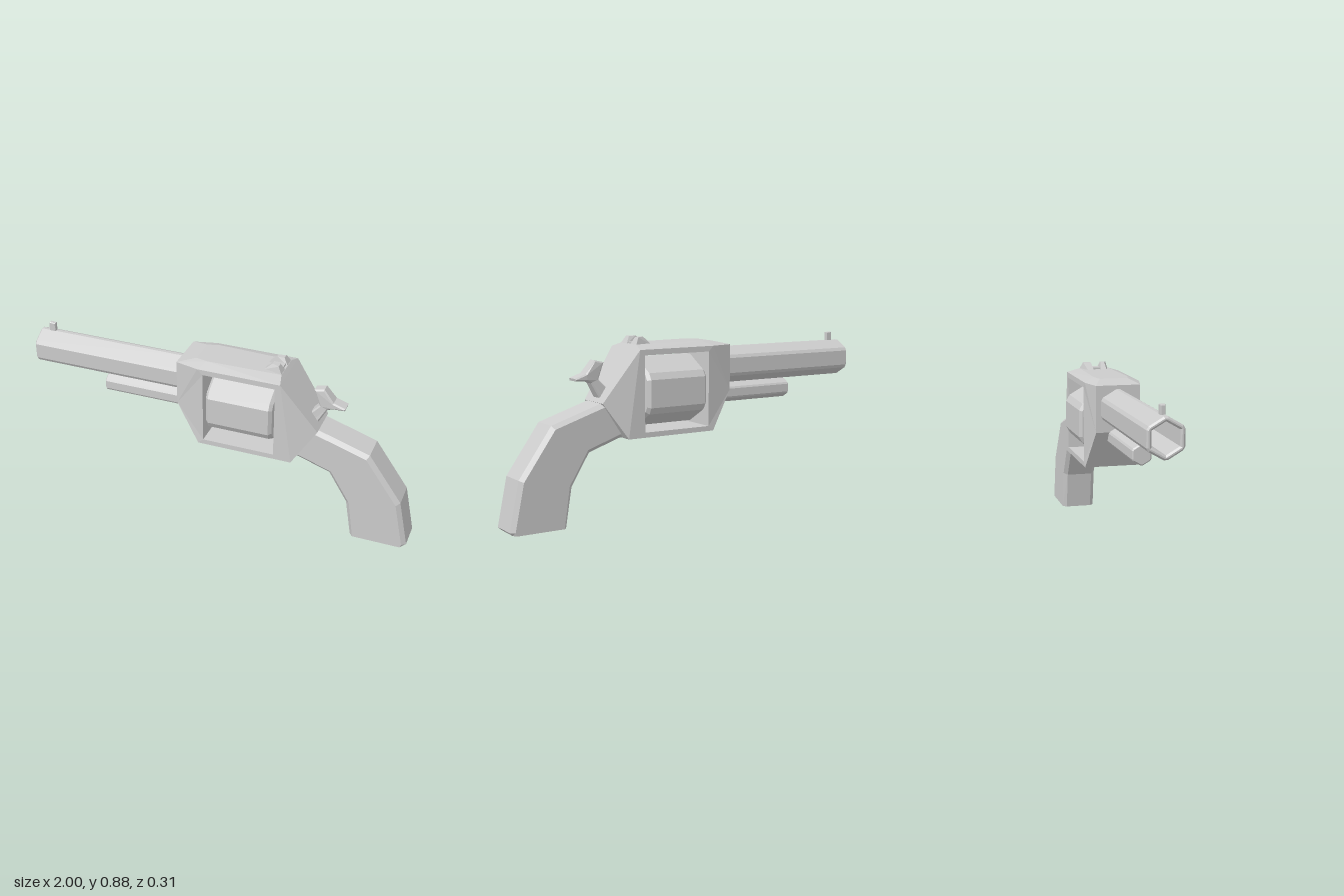
import * as THREE from 'three';
import { ConvexGeometry } from 'three/addons/geometries/ConvexGeometry.js';

const material = new THREE.MeshStandardMaterial({ color: 0xcccccc, flatShading: true });
const V2 = (p) => new THREE.Vector2(p[0], p[1]);

function part(name, geometry) {
  const mesh = new THREE.Mesh(geometry, material);
  mesh.name = name;
  return mesh;
}

// Plate drawn in x-y, centred on z = 0, with an inward chamfer
function plate(points, halfWidth, chamfer, holePoints) {
  const shape = new THREE.Shape(points.map(V2));
  if (holePoints) shape.holes.push(new THREE.Path(holePoints.map(V2)));
  const depth = 2 * (halfWidth - chamfer);
  const geometry = new THREE.ExtrudeGeometry(shape, {
    depth, steps: 1, bevelEnabled: chamfer > 0, bevelSegments: 1,
    bevelThickness: chamfer, bevelSize: chamfer, bevelOffset: -chamfer,
  });
  return geometry.translate(0, 0, -depth / 2);
}

// Move vertices by a rule
function reshape(geometry, rule) {
  const pos = geometry.attributes.position;
  const v = new THREE.Vector3();
  for (let i = 0; i < pos.count; i++) {
    rule(v.fromBufferAttribute(pos, i));
    pos.setXYZ(i, v.x, v.y, v.z);
  }
  geometry.computeVertexNormals();
  return geometry;
}

// Hexagon standing on a corner, each corner cut by t (fraction of a side)
function hexagon(radius, t) {
  const corner = (i) => {
    const a = Math.PI / 2 + (i * Math.PI) / 3;
    return new THREE.Vector2(radius * Math.cos(a), radius * Math.sin(a));
  };
  const points = [];
  for (let i = 0; i < 6; i++) {
    if (t === 0) points.push(corner(i));
    else points.push(corner(i).lerp(corner(i - 1), t), corner(i).lerp(corner(i + 1), t));
  }
  return points;
}

// Hexagonal bar along x from x0 to x1, optionally hollow
function hexBar(x0, x1, y, radius, cut, chamfer, bore = 0) {
  const shape = new THREE.Shape(hexagon(radius, cut));
  if (bore) shape.holes.push(new THREE.Path(hexagon(bore, 0)));
  const geometry = new THREE.ExtrudeGeometry(shape, {
    depth: x1 - x0 - 2 * chamfer, steps: 1, bevelEnabled: true, bevelSegments: 1,
    bevelThickness: chamfer, bevelSize: chamfer, bevelOffset: -chamfer,
  });
  return geometry.rotateY(Math.PI / 2).translate(x0 + chamfer, y, 0);
}

const hull = (list) => new ConvexGeometry(list.map((p) => new THREE.Vector3(...p)));
const mirrored = (list) => list.flatMap(([x, y, z]) => [[x, y, z], [x, y, -z]]);

export function createModel() {
  const model = new THREE.Group();
  model.name = 'revolver';

  // Barrel, rod housing and front sight
  model.add(part('barrel', hexBar(-1, -0.19, 0.718, 0.098, 0.11, 0.008, 0.072)));
  model.add(part('ejectorRod', hexBar(-0.63, -0.1, 0.574, 0.053, 0.12, 0.006)));
  model.add(part('frontSight', plate(
    [[-0.95, 0.79], [-0.915, 0.79], [-0.915, 0.853], [-0.945, 0.856], [-0.95, 0.85]], 0.011, 0.003)));

  // Frame with an open window, narrowing toward the front and the rear tip
  const frame = plate(
    [[-0.2, 0.83], [-0.2, 0.6], [-0.08, 0.405], [0.405, 0.405], [0.52, 0.58], [0.34, 0.83], [-0.08, 0.83]],
    0.138, 0,
    [[-0.053, 0.43], [-0.053, 0.803], [0.315, 0.803], [0.315, 0.43]]);
  reshape(frame, (v) => {
    const half = v.x < -0.15 ? 0.11 : v.x > 0.45 ? 0.092 : 0.138;
    v.z = Math.sign(v.z) * half;
  });
  model.add(part('frame', frame));

  // Sloped top of the frame
  model.add(part('topStrap', hull(mirrored([
    [-0.2, 0.83, 0.11], [-0.08, 0.83, 0.138], [0.34, 0.83, 0.138],
    [-0.11, 0.851, 0.07], [-0.05, 0.852, 0.085], [0.325, 0.85, 0.075],
  ]))));

  // Rear sight: two posts and a low bridge
  const rearSight = new THREE.Group();
  rearSight.name = 'rearSight';
  for (const s of [1, -1]) {
    rearSight.add(part('rearSightPost', hull([
      [0.23, 0.848, 0.018], [0.23, 0.848, 0.05], [0.325, 0.848, 0.017], [0.325, 0.848, 0.075],
      [0.27, 0.885, 0.026], [0.27, 0.885, 0.045], [0.305, 0.883, 0.03], [0.305, 0.883, 0.06],
    ].map(([x, y, z]) => [x, y, z * s]))));
  }
  rearSight.add(part('rearSightBridge', new THREE.BoxGeometry(0.06, 0.02, 0.05).translate(0.285, 0.85, 0)));
  model.add(rearSight);

  // Cylinder
  model.add(part('cylinder', hexBar(-0.035, 0.305, 0.616, 0.179, 0.12, 0.015)));

  // Hammer, slimmer at the neck and top
  const hammer = plate(
    [[0.43, 0.61], [0.505, 0.69], [0.475, 0.77], [0.525, 0.782], [0.575, 0.72], [0.635, 0.7],
      [0.632, 0.688], [0.572, 0.685], [0.545, 0.672], [0.505, 0.6], [0.46, 0.58]],
    0.034, 0.007);
  reshape(hammer, (v) => {
    if (v.y > 0.75) v.z *= 0.75;
    else if (v.y > 0.665 && v.x < 0.56) v.z *= 0.8;
  });
  model.add(part('hammer', hammer));

  // Chamfered grip with a flat base
  const grip = plate(
    [[0.38, 0.405], [0.42, 0.405], [0.585, 0.35], [0.68, 0.195], [0.712, -0.02], [0.985, -0.02],
      [1.0, 0.015], [0.95, 0.255], [0.78, 0.495], [0.515, 0.58], [0.42, 0.58]],
    0.088, 0.02);
  reshape(grip, (v) => { v.y = Math.max(0, v.y); });
  model.add(part('grip', grip));

  return model;
}
